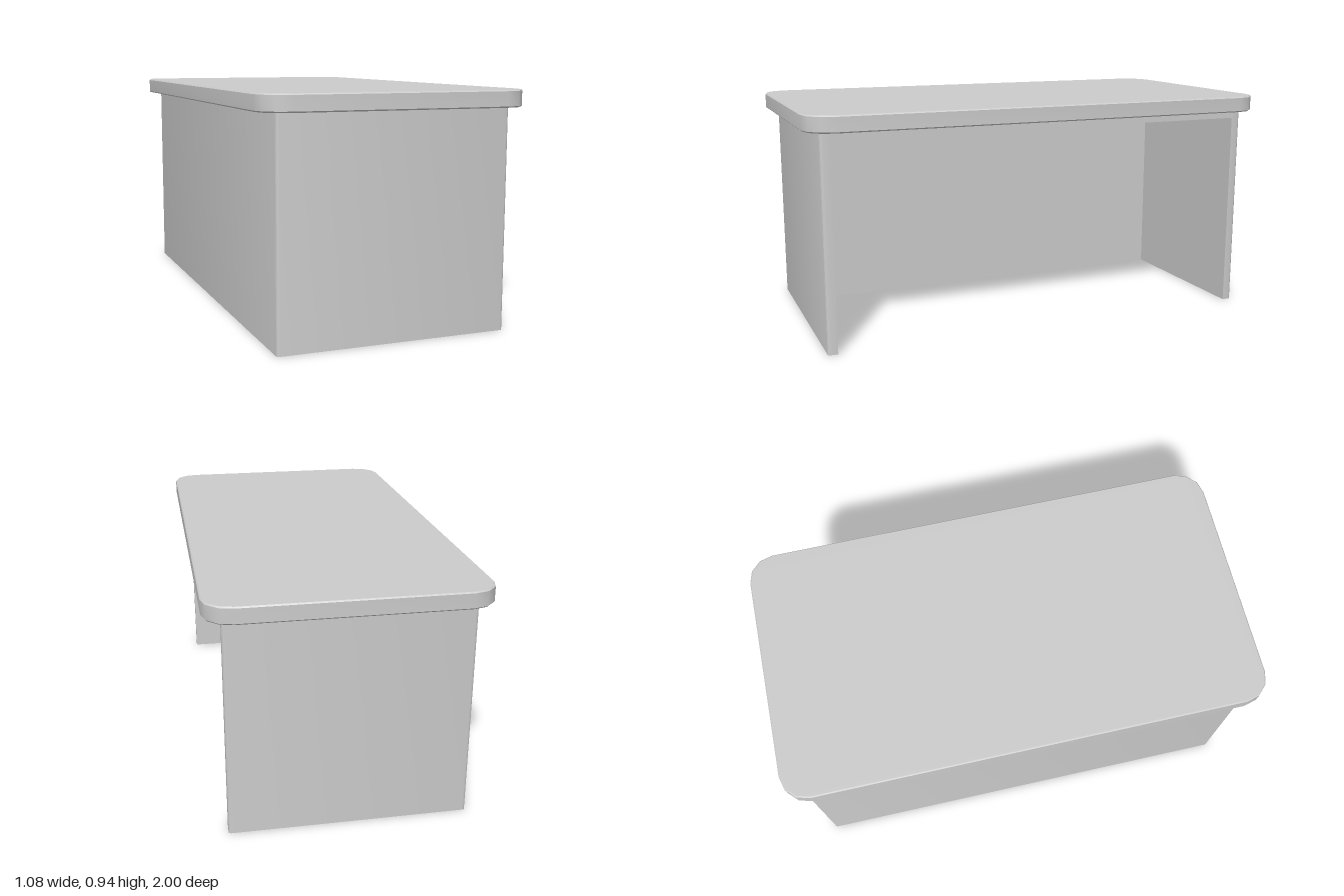
import * as THREE from 'three';
import { toCreasedNormals } from 'three/addons/utils/BufferGeometryUtils.js';

const material = new THREE.MeshStandardMaterial({ color: 0xcccccc });
const shellMaterial = new THREE.MeshStandardMaterial({ color: 0xcccccc, side: THREE.DoubleSide });

// Corner-rounded rectangle outline, starting on the +x edge.
function roundedOutline(hx, hy, r, segments) {
  const points = [];
  [[1, 1], [-1, 1], [-1, -1], [1, -1]].forEach(([sx, sy], corner) => {
    for (let i = 0; i <= segments; i++) {
      const a = (corner + i / segments) * Math.PI / 2;
      points.push(new THREE.Vector2(sx * (hx - r) + r * Math.cos(a), sy * (hy - r) + r * Math.sin(a)));
    }
  });
  return points;
}

// Thin upright wall following a plan path of (x, z) points.
function wall(name, path, height) {
  const position = [];
  for (let i = 0; i < path.length - 1; i++) {
    const a = path[i], b = path[i + 1];
    position.push(
      a.x, 0, a.y, a.x, height, a.y, b.x, height, b.y,
      a.x, 0, a.y, b.x, height, b.y, b.x, 0, b.y);
  }
  const geometry = new THREE.BufferGeometry();
  geometry.setAttribute('position', new THREE.Float32BufferAttribute(position, 3));
  // Turn outward-facing: the path runs from +z round the back to -z.
  const mesh = new THREE.Mesh(toCreasedNormals(geometry, 0.6), shellMaterial);
  mesh.name = name;
  return mesh;
}

export function createModel() {
  const desk = new THREE.Group();
  desk.name = 'desk';

  const top = 0.88, ceiling = 0.845;
  const halfX = 0.47, halfZ = 0.94, innerZ = 0.9, innerBack = -0.265;

  // Outer skin: two ends and the back, wrapping onto the narrow front rims
  const v = (x, z) => new THREE.Vector2(x, z);
  const outer = [v(halfX, innerZ), ...roundedOutline(halfX, halfZ, 0.01, 3), v(halfX, -innerZ)];
  desk.add(wall('outerPanels', outer, top));

  // Inner lining of the knee space; the base is hollow underneath
  const inner = [v(halfX, -innerZ), v(innerBack, -innerZ), v(innerBack, innerZ), v(halfX, innerZ)];
  desk.add(wall('innerPanels', inner, top));

  // Ceiling of the knee space with its front rail
  const rail = new THREE.Mesh(
    new THREE.BoxGeometry(halfX - innerBack, top - ceiling, innerZ * 2), material);
  rail.position.set((halfX + innerBack) / 2, (top + ceiling) / 2, 0);
  rail.name = 'kneeSpaceCeiling';
  desk.add(rail);

  // Overhanging desktop with rounded corners and a fine edge bevel
  const bevel = 0.005, thickness = 0.067;
  const slab = new THREE.ExtrudeGeometry(
    new THREE.Shape(roundedOutline(0.538 - bevel, 1 - bevel, 0.105, 3)),
    { depth: thickness - 2 * bevel, bevelEnabled: true, bevelSize: bevel, bevelThickness: bevel, bevelSegments: 1 });
  slab.rotateX(-Math.PI / 2);
  const desktop = new THREE.Mesh(toCreasedNormals(slab, 0.6), material);
  desktop.position.y = 0.878 + bevel;
  desktop.name = 'desktop';
  desk.add(desktop);

  return desk;
}
